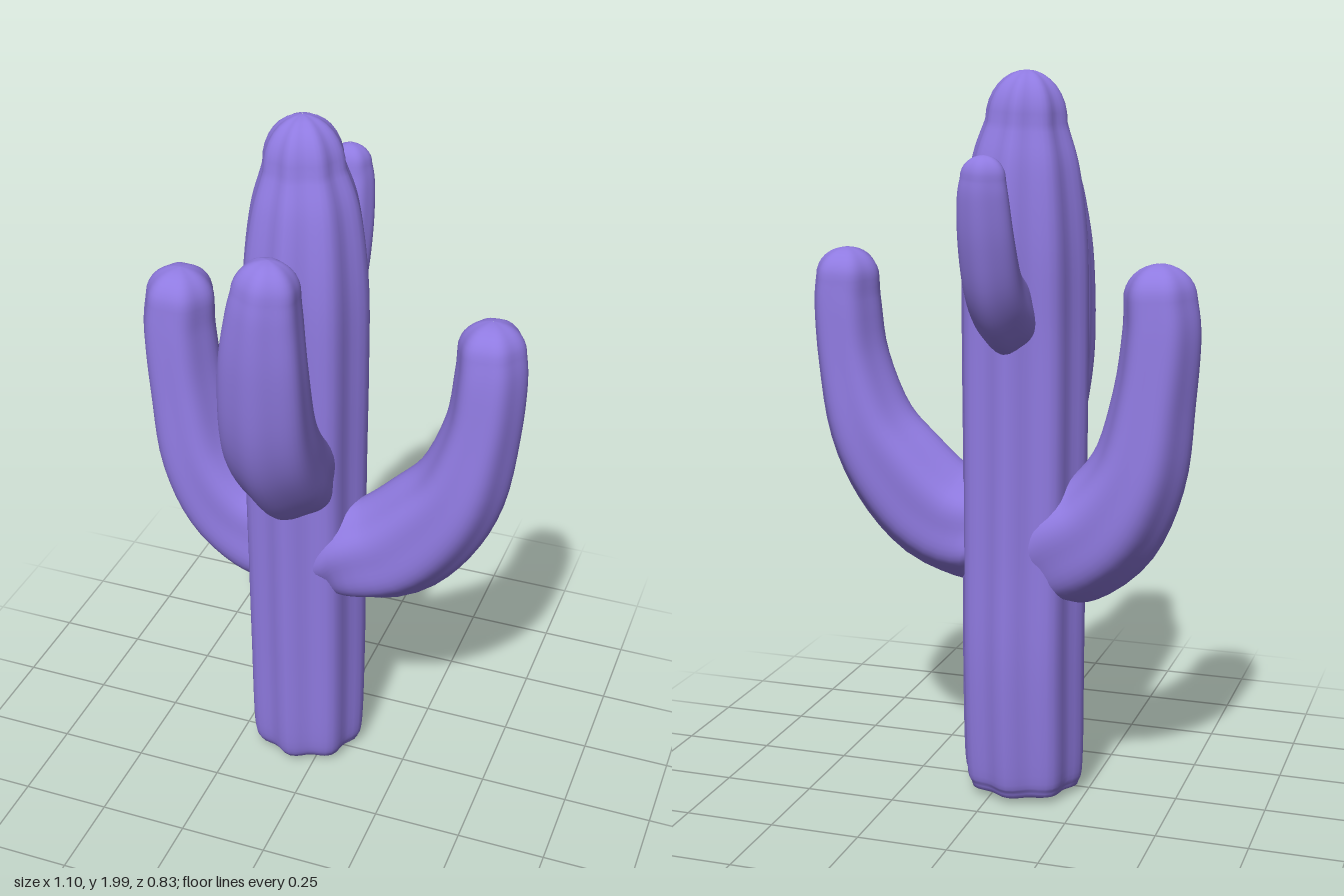
import * as THREE from 'three';

const SEG = 56;
const material = new THREE.MeshStandardMaterial({ color: 0x8f7ae0, roughness: 0.8 });

// Ribbed limb swept through rows of [x, y, z, inPlaneRadius, sideRadius].
// dir is the direction of the first rib; tip and foot are the heights of the rounded ends.
function limb(name, rows, { dir, ribs, depth, tip, foot = 0.02, steps = 28 }) {
  const path = new THREE.CatmullRomCurve3(
    rows.map(r => new THREE.Vector3(r[0], r[1], r[2])), false, 'catmullrom', 0.5);
  const size = new THREE.CatmullRomCurve3(
    rows.map(r => new THREE.Vector3(r[3], r[4], 0)), false, 'catmullrom', 0.5);
  const D = new THREE.Vector3(...dir);
  const positions = [];
  const index = [];
  let rings = 0;

  const addRing = (t, scale, shift) => {
    const T = path.getTangent(t);
    const N = D.clone().addScaledVector(T, -T.dot(D)).normalize();
    const B = T.clone().cross(N);
    const C = path.getPoint(t).addScaledVector(T, shift);
    const s = size.getPoint(t);
    for (let j = 0; j < SEG; j++) {
      const q = (j / SEG) * Math.PI * 2;
      // slightly uneven ribs
      const rib = 1 + depth * Math.cos(ribs * q) + 0.012 * Math.sin(2 * q + t * 5);
      const p = C.clone()
        .addScaledVector(N, s.x * scale * rib * Math.cos(q))
        .addScaledVector(B, s.y * scale * rib * Math.sin(q));
      positions.push(p.x, p.y, p.z);
    }
    rings++;
  };

  // rounded foot, body, rounded tip
  for (const f of [0.01, 0.5, 0.85]) addRing(0, f, -foot * Math.sqrt(1 - f * f));
  for (let i = 0; i <= steps; i++) addRing(i / steps, 1, 0);
  for (let i = 1; i <= 8; i++) {
    const a = (i / 8) * Math.PI * 0.497;
    addRing(1, Math.cos(a), tip * Math.sin(a));
  }

  for (let i = 0; i < rings - 1; i++) {
    for (let j = 0; j < SEG; j++) {
      const k = (j + 1) % SEG;
      const a = i * SEG + j, b = i * SEG + k;
      index.push(a, b, b + SEG, a, b + SEG, a + SEG);
    }
  }
  const geometry = new THREE.BufferGeometry();
  geometry.setAttribute('position', new THREE.Float32BufferAttribute(positions, 3));
  geometry.setIndex(index);
  geometry.computeVertexNormals();
  const mesh = new THREE.Mesh(geometry, material);
  mesh.name = name;
  return mesh;
}

export function createModel() {
  const cactus = new THREE.Group();
  cactus.name = 'cactus';

  // Upright ribbed trunk, narrowing to a blunt point
  cactus.add(limb('trunk', [
    [-0.065, 0.03, -0.03, 0.145, 0.15],
    [-0.065, 0.1, -0.03, 0.165, 0.165],
    [-0.065, 0.4, -0.035, 0.175, 0.168],
    [-0.065, 0.7, -0.03, 0.172, 0.168],
    [-0.065, 1.0, -0.025, 0.17, 0.168],
    [-0.063, 1.3, -0.02, 0.17, 0.168],
    [-0.063, 1.55, -0.023, 0.168, 0.163],
    [-0.065, 1.75, -0.03, 0.142, 0.14],
    [-0.07, 1.87, -0.035, 0.105, 0.105],
  ], { dir: [0, 0, 1], ribs: 8, depth: 0.055, tip: 0.13, steps: 48 }));

  // Lowest arm, on the model's right
  cactus.add(limb('rightArm', [
    [-0.06, 0.68, -0.04, 0.1, 0.11],
    [-0.17, 0.72, -0.05, 0.16, 0.135],
    [-0.3, 0.8, -0.055, 0.152, 0.14],
    [-0.39, 0.95, -0.055, 0.127, 0.135],
    [-0.43, 1.15, -0.055, 0.108, 0.12],
    [-0.447, 1.32, -0.055, 0.102, 0.108],
    [-0.442, 1.42, -0.055, 0.095, 0.098],
  ], { dir: [-1, 0, 0], ribs: 6, depth: 0.04, tip: 0.09 }));

  // Arm on the model's left
  cactus.add(limb('leftArm', [
    [-0.03, 0.72, -0.01, 0.1, 0.1],
    [0.07, 0.74, 0, 0.14, 0.125],
    [0.2, 0.79, 0, 0.152, 0.13],
    [0.31, 0.9, -0.005, 0.145, 0.13],
    [0.39, 1.03, -0.01, 0.122, 0.125],
    [0.437, 1.21, -0.015, 0.1, 0.11],
    [0.45, 1.36, -0.02, 0.094, 0.1],
    [0.447, 1.44, -0.025, 0.088, 0.09],
  ], { dir: [1, 0, 0], ribs: 6, depth: 0.04, tip: 0.08 }));

  // Tall arm at the front
  cactus.add(limb('frontArm', [
    [-0.06, 0.97, 0, 0.08, 0.1],
    [-0.058, 1.03, 0.1, 0.128, 0.125],
    [-0.055, 1.16, 0.22, 0.124, 0.127],
    [-0.05, 1.29, 0.29, 0.108, 0.122],
    [-0.042, 1.48, 0.33, 0.088, 0.112],
    [-0.035, 1.62, 0.333, 0.084, 0.095],
    [-0.03, 1.69, 0.33, 0.078, 0.084],
  ], { dir: [0, 0, 1], ribs: 6, depth: 0.04, tip: 0.085 }));

  // Small high arm at the back
  cactus.add(limb('backArm', [
    [-0.06, 1.34, -0.1, 0.085, 0.07],
    [-0.06, 1.385, -0.19, 0.1, 0.077],
    [-0.06, 1.46, -0.275, 0.082, 0.075],
    [-0.06, 1.58, -0.33, 0.064, 0.072],
    [-0.06, 1.69, -0.357, 0.053, 0.065],
    [-0.062, 1.745, -0.363, 0.047, 0.057],
  ], { dir: [0, 0, -1], ribs: 5, depth: 0.04, tip: 0.055 }));

  return cactus;
}
